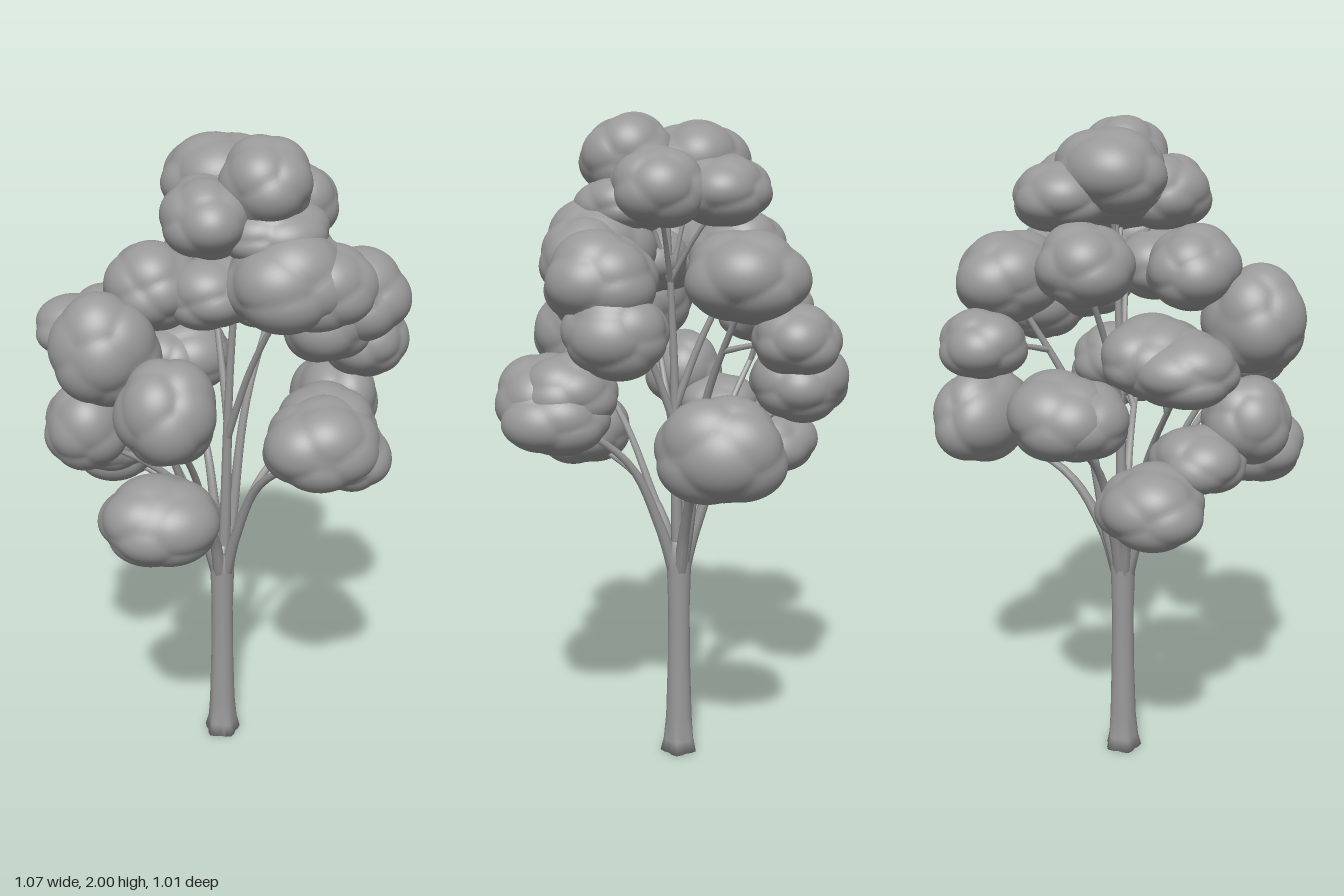
import * as THREE from 'three';
import { mergeVertices } from 'three/addons/utils/BufferGeometryUtils.js';

const V = (x, y, z) => new THREE.Vector3(x, y, z);

function seeded(seed) {
  let s = seed * 7919 + 17;
  return () => (s = (s * 16807) % 2147483647) / 2147483647;
}

// Leaf clump: a sphere swollen by a handful of broad lobes, flatter below
function clumpGeometry(seed, rx, ry, rz) {
  const rand = seeded(seed);
  for (let i = 0; i < 5; i++) rand();
  const lobes = [];
  const count = 11, turn = rand() * 6.28;
  for (let i = 0; i < count; i++) {
    const y = 1 - (2 * (i + 0.5)) / count;
    const a = turn + i * 2.4 + (rand() - 0.5) * 0.6;
    const r = Math.sqrt(1 - y * y);
    lobes.push({ dir: V(r * Math.cos(a), y, r * Math.sin(a)), size: 0.97 + rand() * 0.09 });
  }
  let g = new THREE.IcosahedronGeometry(1, 12);
  g.deleteAttribute('normal');
  g.deleteAttribute('uv');
  g = mergeVertices(g, 1e-4);
  const p = g.attributes.position, v = V(0, 0, 0);
  for (let i = 0; i < p.count; i++) {
    v.fromBufferAttribute(p, i).normalize();
    let r = 0.9;
    for (const l of lobes) r = Math.max(r, l.size - (1 - v.dot(l.dir)) * 0.45);
    v.multiplyScalar(r);
    if (v.y < 0) v.y *= 0.88;
    p.setXYZ(i, v.x * rx, v.y * ry, v.z * rz);
  }
  g.computeVertexNormals();
  return g;
}

// Tube along a curve, narrowing from r0 to r1
function taperedTube(curve, r0, r1, segments = 16, sides = 8) {
  const g = new THREE.TubeGeometry(curve, segments, 1, sides, false);
  const p = g.attributes.position, v = V(0, 0, 0);
  for (let i = 0; i <= segments; i++) {
    const c = curve.getPointAt(i / segments);
    const r = r0 + (r1 - r0) * Math.pow(i / segments, 0.6);
    for (let j = 0; j <= sides; j++) {
      const k = i * (sides + 1) + j;
      v.fromBufferAttribute(p, k).sub(c).multiplyScalar(r).add(c);
      p.setXYZ(k, v.x, v.y, v.z);
    }
  }
  return g;
}

// Boughs: optional parent limb with fork position, then centre and radii of each clump
const boughs = {
  crown: { clumps: [
    [0.05, 1.8, 0.03, 0.19, 0.12, 0.19], [0.09, 1.87, 0.13, 0.135, 0.13, 0.14],
    [0.01, 1.84, -0.05, 0.18, 0.14, 0.16], [0.11, 1.78, -0.14, 0.145, 0.11, 0.14],
    [0.2, 1.79, 0.03, 0.125, 0.125, 0.14], [-0.07, 1.78, 0.12, 0.13, 0.12, 0.15],
    [0.11, 1.74, 0.14, 0.16, 0.1, 0.14],
  ] },
  frontUpper: { parent: 'crown', at: 0.4, clumps: [
    [0.14, 1.61, 0.21, 0.18, 0.15, 0.165], [0.35, 1.55, 0.16, 0.15, 0.14, 0.16],
    [0.39, 1.41, 0.12, 0.125, 0.13, 0.15], [0.26, 1.49, 0.18, 0.14, 0.14, 0.14],
    [-0.05, 1.57, 0.12, 0.14, 0.11, 0.14], [0.24, 1.59, 0.22, 0.15, 0.13, 0.14],
  ] },
  frontLower: { clumps: [
    [0.2, 1.19, 0.36, 0.165, 0.14, 0.15], [0.28, 1.15, 0.32, 0.125, 0.12, 0.16],
    [0.24, 1.22, 0.29, 0.14, 0.12, 0.15],
  ] },
  frontRightLow: { clumps: [[-0.25, 1.0, 0.35, 0.175, 0.135, 0.15]] },
  frontRightHigh: { parent: 'frontRightLow', at: 0.35, clumps: [
    [-0.23, 1.32, 0.36, 0.14, 0.16, 0.14], [-0.19, 1.27, 0.32, 0.1, 0.09, 0.11],
  ] },
  rightLow: { clumps: [[-0.41, 1.17, 0.04, 0.13, 0.14, 0.13], [-0.33, 1.07, -0.09, 0.14, 0.11, 0.14]] },
  rightHigh: { parent: 'rightLow', at: 0.35, clumps: [
    [-0.36, 1.43, 0.14, 0.155, 0.17, 0.145], [-0.21, 1.58, 0.05, 0.14, 0.13, 0.15],
  ] },
  backRightLow: { clumps: [[-0.29, 0.97, -0.26, 0.16, 0.125, 0.15]] },
  backRightHigh: { parent: 'backRightLow', at: 0.35, clumps: [
    [-0.37, 1.37, -0.24, 0.16, 0.11, 0.15], [-0.28, 1.39, -0.24, 0.14, 0.12, 0.165],
  ] },
  backLow: { clumps: [[-0.05, 1.21, -0.36, 0.165, 0.135, 0.15], [-0.11, 1.21, -0.34, 0.13, 0.12, 0.14]] },
  backHigh: { parent: 'crown', at: 0.45, clumps: [[0, 1.6, -0.18, 0.145, 0.13, 0.15]] },
  backLeft: { clumps: [[0.24, 1.55, -0.22, 0.155, 0.14, 0.17], [0.23, 1.38, -0.36, 0.13, 0.11, 0.125]] },
  leftLow: { clumps: [[0.405, 1.1, -0.17, 0.135, 0.165, 0.185]] },
};

export function createModel() {
  const group = new THREE.Group();
  const grey = new THREE.MeshStandardMaterial({ color: 0x999999 });
  grey.name = 'grey';
  const add = (geometry, name) => {
    const mesh = new THREE.Mesh(geometry, grey);
    mesh.name = name;
    group.add(mesh);
  };

  // Trunk with a slightly lobed, flared foot
  const outline = [[0, 0], [0.054, 0], [0.046, 0.04], [0.041, 0.12], [0.036, 0.3], [0.034, 0.48], [0.038, 0.62], [0.04, 0.67], [0.026, 0.71], [0, 0.72]]
    .map(([r, y]) => new THREE.Vector2(r, y));
  const trunk = new THREE.LatheGeometry(outline, 20);
  const p = trunk.attributes.position;
  for (let i = 0; i < p.count; i++) {
    const a = Math.atan2(p.getZ(i), p.getX(i));
    const s = 1 + 0.12 * Math.cos(5 * a) * Math.max(0, 1 - p.getY(i) / 0.15);
    p.setXYZ(i, p.getX(i) * s, p.getY(i), p.getZ(i) * s);
  }
  trunk.computeVertexNormals();
  add(trunk, 'trunk');

  let seed = 1;
  const limbs = {};
  for (const [name, { parent, at, clumps }] of Object.entries(boughs)) {
    // Limb from the trunk, or from a fork in its parent limb, to the first clump
    const [x, y, z] = clumps[0];
    const end = V(x, y - 0.03, z);
    let points;
    if (parent) {
      const fork = limbs[parent].getPointAt(at);
      const mid = fork.clone().lerp(end, 0.5);
      points = [fork, V(mid.x * 0.85, mid.y, mid.z * 0.85), end];
    } else {
      points = [
        V(x * 0.04, 0.62, z * 0.04), V(x * 0.15, 0.76, z * 0.15),
        V(x * 0.4, 0.76 + (y - 0.76) * 0.5, z * 0.4), end,
      ];
    }
    const limb = limbs[name] = new THREE.CatmullRomCurve3(points);
    add(taperedTube(limb, parent ? 0.014 : 0.023, 0.008), name + 'Limb');

    clumps.forEach(([cx, cy, cz, rx, ry, rz], i) => {
      const clump = clumpGeometry(seed++, rx, ry, rz);
      clump.translate(cx, cy, cz);
      add(clump, name + 'Leaves');
      // Twigs from the limb to the other clumps
      if (i > 0) {
        const fork = limb.getPointAt(0.78), tip = V(cx, cy - 0.02, cz);
        const mid = fork.clone().lerp(tip, 0.5).add(V(0, 0.015, 0));
        add(taperedTube(new THREE.CatmullRomCurve3([fork, mid, tip]), 0.01, 0.006, 8, 6), name + 'Twig');
      }
    });
  }
  return group;
}
